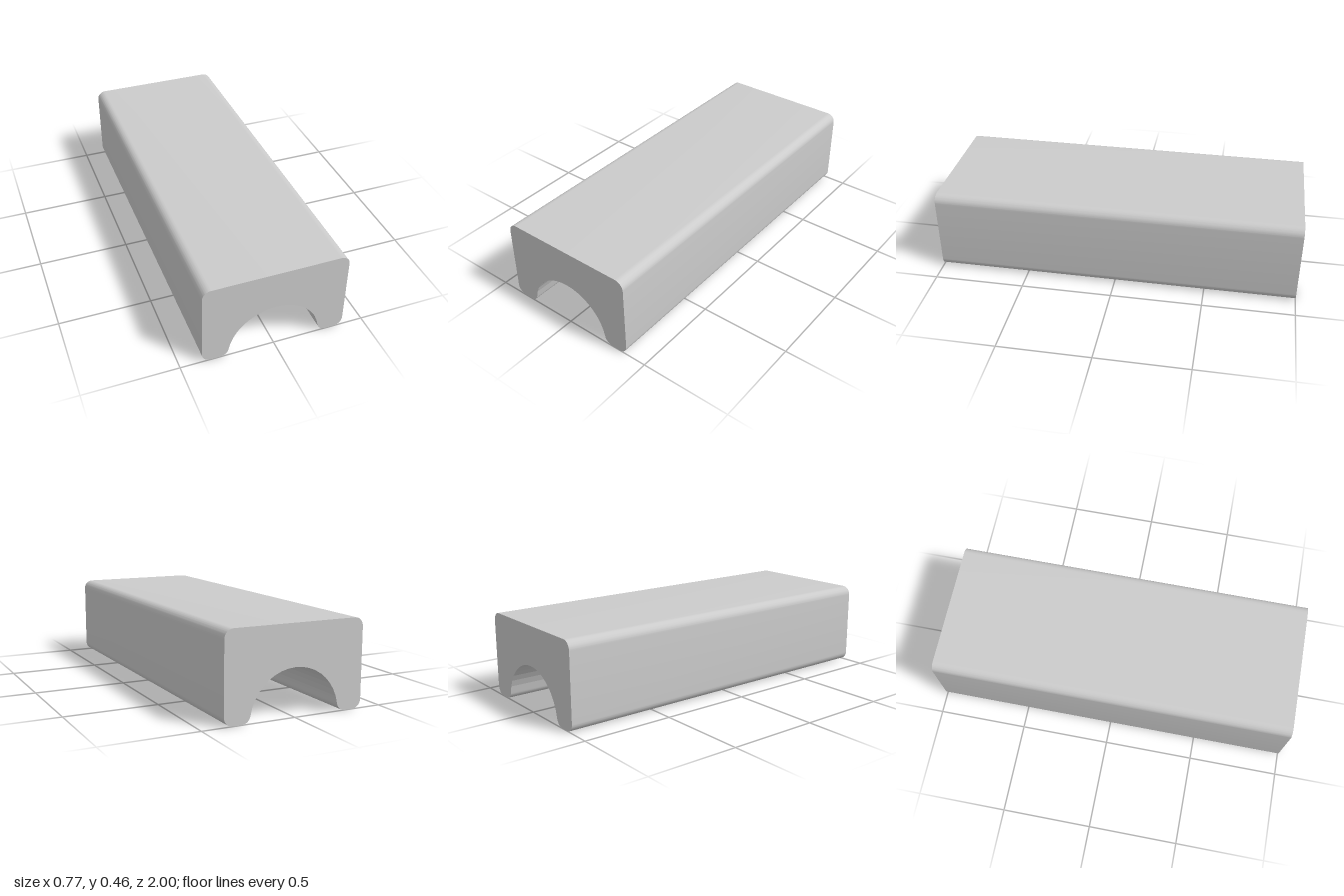
import * as THREE from 'three';
import { toCreasedNormals } from 'three/addons/utils/BufferGeometryUtils.js';

const HALF_WIDTH = 0.385, HEIGHT = 0.463, LENGTH = 2;
const FILLET = 0.048, CHANNEL = 0.248;

// Points along an arc, angles in radians
function arc(cx, cy, r, from, to, segments) {
  return Array.from({ length: segments + 1 }, (_, i) => {
    const a = from + (to - from) * i / segments;
    return new THREE.Vector2(cx + r * Math.cos(a), cy + r * Math.sin(a));
  });
}

export function createModel() {
  const group = new THREE.Group();
  const { PI } = Math;
  const x = HALF_WIDTH - FILLET, top = HEIGHT - FILLET;

  // Inner foot fillets are tangent to both the ground and the channel
  const footX = Math.sqrt((CHANNEL + FILLET) ** 2 - FILLET ** 2);
  const tilt = Math.atan2(FILLET, footX);

  // Cross-section, counter-clockwise from the right foot
  const profile = [
    ...arc(x, FILLET, FILLET, -PI / 2, 0, 16),
    ...arc(x, top, FILLET, 0, PI / 2, 16),
    ...arc(-x, top, FILLET, PI / 2, PI, 16),
    ...arc(-x, FILLET, FILLET, PI, PI * 1.5, 16),
    ...arc(-footX, FILLET, FILLET, PI * 1.5, PI * 2 - tilt, 16),
    ...arc(0, 0, CHANNEL, PI - tilt, tilt, 18).slice(1, -1), // faceted channel
    ...arc(footX, FILLET, FILLET, PI + tilt, PI * 1.5, 16),
  ];

  const geometry = new THREE.ExtrudeGeometry(new THREE.Shape(profile), {
    depth: LENGTH, bevelEnabled: false,
  });
  geometry.translate(0, 0, -LENGTH / 2);

  // Smooth fillets, visible facets in the channel, sharp ends
  const block = new THREE.Mesh(
    toCreasedNormals(geometry, THREE.MathUtils.degToRad(8)),
    new THREE.MeshStandardMaterial({ color: 0xcccccc }),
  );
  block.name = 'channelBlock';
  group.add(block);
  return group;
}
